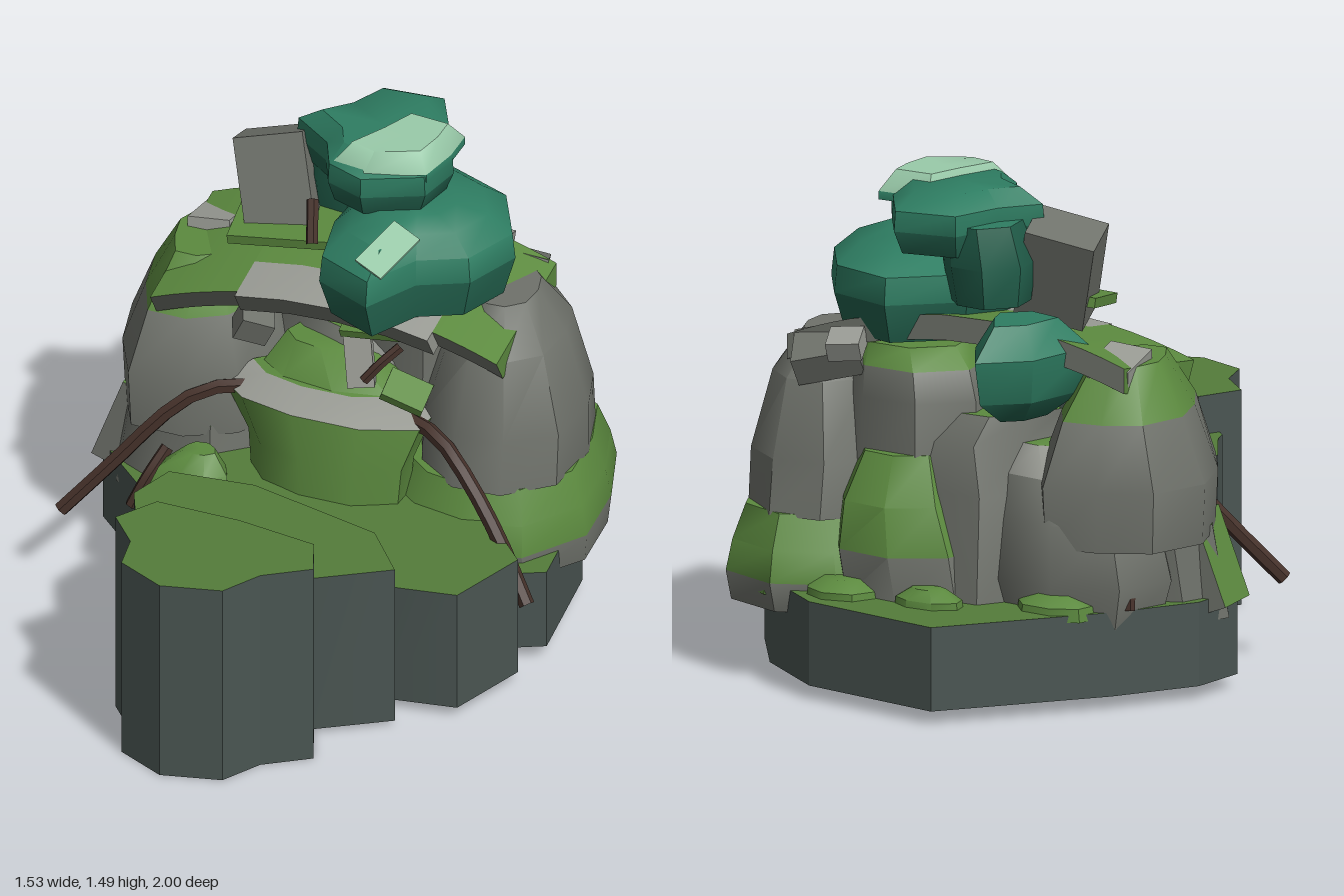
import * as THREE from 'three';
import { toCreasedNormals } from 'three/addons/utils/BufferGeometryUtils.js';

const material = (name, color) => {
  const m = new THREE.MeshStandardMaterial({ color });
  m.name = name;
  return m;
};

export function createModel() {
  const group = new THREE.Group();
  const slate = material('slate', 0x4a5552);
  const turf = material('turf', 0x547c3a);
  const moss = material('moss', 0x5c8a3f);
  const stone = material('stone', 0x6f726b);
  const paleStone = material('pale stone', 0x999b94);
  const leaf = material('leaf', 0x2e7d62);
  const darkLeaf = material('dark leaf', 0x22604c);
  const paleLeaf = material('pale leaf', 0x9acbaa);
  const bark = material('bark', 0x443029);

  const add = (name, geometry, mat) => {
    const mesh = new THREE.Mesh(geometry, mat);
    mesh.name = name;
    group.add(mesh);
    return mesh;
  };

  // Skin stacked rings of points; mats = bottom cap, each band, top cap
  const loft = (name, rings, mats, crease) => {
    const pos = [], geo = new THREE.BufferGeometry(), used = [...new Set(mats)];
    const mid = (r) => [0, 1, 2].map((k) => r.reduce((s, p) => s + p[k], 0) / r.length);
    const n = rings[0].length;
    const band = (index, build) => {
      const start = pos.length / 3;
      for (let i = 0; i < n; i++) build(i, (i + 1) % n);
      geo.addGroup(start, pos.length / 3 - start, used.indexOf(mats[index]));
    };
    const low = rings[0], high = rings[rings.length - 1], cl = mid(low), ch = mid(high);
    band(0, (i, j) => pos.push(...cl, ...low[i], ...low[j]));
    for (let k = 0; k + 1 < rings.length; k++) {
      const a = rings[k], b = rings[k + 1];
      band(k + 1, (i, j) => pos.push(...a[i], ...b[i], ...a[j], ...a[j], ...b[i], ...b[j]));
    }
    band(rings.length, (i, j) => pos.push(...ch, ...high[j], ...high[i]));
    geo.setAttribute('position', new THREE.Float32BufferAttribute(pos, 3));
    return add(name, toCreasedNormals(geo, crease), used);
  };

  // Irregular boulder from levels [y, cx, cz, rx, rz]
  const boulder = (name, levels, mats, n = 9, seed = 1) => {
    const wobble = (i) => 0.95 + 0.07 * Math.sin(i * 2.4 * seed + seed);
    loft(name, levels.map(([y, cx, cz, rx, rz]) => Array.from({ length: n }, (_, i) => {
      const a = (i + 0.3 * seed) / n * Math.PI * 2, w = wobble(i);
      return [cx + Math.cos(a) * rx * w, y, cz + Math.sin(a) * rz * w];
    })), mats, 0.72);
  };

  // Outline [x, z] repeated at levels [y, scale]
  const layered = (name, outline, levels, mats, crease) => {
    const cx = outline.reduce((s, p) => s + p[0], 0) / outline.length;
    const cz = outline.reduce((s, p) => s + p[1], 0) / outline.length;
    loft(name, levels.map(([y, s]) => outline.map(([x, z]) => [cx + (x - cx) * s, y, cz + (z - cz) * s])), mats, crease);
  };

  // Terraced ground, tallest step at the front
  [
    [0, 0.64, [[.3, .75], [.17, .84], [.1, .96], [-.08, 1], [-.23, .92], [-.25, .8], [-.34, .69], [-.26, .565], [0, .575], [.25, .62]]],
    [.015, .525, [[.45, .49], [.25, .62], [0, .7], [-.24, .7], [-.32, .6], [-.33, .55], [-.41, .37], [-.36, .22], [-.1, .2], [.32, .32]]],
    [.03, .41, [[.53, -.05], [.69, .13], [.6, .38], [.38, .41], [-.3, .36], [-.43, .24], [-.4, .1], [-.35, -.2], [0, -.28], [.4, -.2]]],
    [.04, .29, [[.72, -.02], [.6, .04], [-.4, .04], [-.52, 0], [-.74, -.22], [-.7, -.4], [-.52, -.62], [-.12, -1], [.33, -.86], [.55, -.65], [.68, -.4]]],
  ].forEach(([y0, y1, outline], i) =>
    layered('terrace' + (i + 1), outline, [[y0, 1], [y1, 1]], [slate, slate, turf], 0.3));

  // Main boulders and the mossy skirt
  boulder('leftSkirt', [[.22, .42, -.37, .35, .4], [.31, .42, -.37, .36, .43], [.4, .43, -.37, .33, .4], [.5, .44, -.37, .28, .35]],
    [stone, stone, moss, moss, moss], 11, 2);
  boulder('leftBoulder', [[.49, .47, -.36, .27, .36], [.65, .47, -.36, .27, .33], [.88, .47, -.37, .19, .26], [1, .46, -.38, .1, .14]],
    [stone, stone, stone, stone, stone], 10, 3);
  boulder('rightFoot', [[.22, -.47, -.26, .27, .22], [.5, -.46, -.29, .24, .22]], [stone, stone, moss], 9, 2);
  boulder('rightBoulder', [[.47, -.46, -.36, .27, .33], [.65, -.46, -.36, .28, .34], [.84, -.46, -.36, .2, .28], [.99, -.46, -.36, .11, .16]],
    [stone, stone, stone, moss, moss], 10, 1);
  boulder('coreRock', [[.25, 0, -.42, .34, .3], [.6, 0, -.41, .32, .27], [.74, .02, -.42, .28, .22], [.82, -.02, -.42, .24, .16]],
    [stone, stone, stone, stone, moss], 9, 4);
  boulder('corePillar', [[.6, .17, -.44, .26, .22], [.85, .17, -.44, .25, .21], [.94, .18, -.43, .23, .2], [1, .2, -.42, .19, .16]],
    [stone, stone, stone, moss, moss], 8, 2);
  boulder('backBoulder', [[.22, -.33, -.44, .27, .24], [.36, -.33, -.44, .31, .28], [.54, -.32, -.43, .27, .26], [.66, -.28, -.43, .21, .2], [.74, -.24, -.44, .1, .1]],
    [stone, stone, stone, stone, paleStone, moss], 9, 2);
  boulder('backLeftBoulder', [[.28, .12, -.57, .24, .19], [.42, .14, -.57, .24, .2], [.56, .16, -.57, .2, .17], [.7, .16, -.55, .14, .12]],
    [stone, stone, moss, moss, moss], 8, 3);
  boulder('frontRightBoulder', [[.18, -.38, .03, .13, .09], [.3, -.38, .03, .15, .11], [.43, -.36, .02, .11, .08], [.48, -.35, 0, .05, .04]],
    [stone, stone, moss, moss, moss], 8, 1);

  // Low moss pads around the back
  [[.28, -.73, .13, .1], [0, -.75, .12, .07], [-.36, -.65, .13, .08], [.5, -.66, .12, .1]].forEach(([x, z, rx, rz], i) =>
    boulder('mossPad' + (i + 1), [[.27, x, z, rx, rz], [.31, x, z, rx * .95, rz * .95], [.34, x, z, rx * .5, rz * .5]],
      [moss, moss, moss, moss], 8, i + 1));

  // Ledges in the hollow between the boulders
  boulder('lowerLedge', [[.28, .02, -.08, .24, .13], [.52, .02, -.09, .26, .13], [.65, 0, -.12, .33, .13], [.7, -.02, -.18, .24, .1]],
    [stone, moss, moss, paleStone, moss], 9, 2);
  boulder('upperLedge', [[.64, .02, -.2, .26, .12], [.7, 0, -.2, .25, .11], [.78, -.06, -.26, .13, .08]],
    [moss, moss, moss, moss], 8, 3);

  // Loose tilted blocks; mats may list one per box face
  const block = (name, size, at, turn, mat) => {
    const m = add(name, new THREE.BoxGeometry(...size), mat);
    m.position.set(...at);
    m.rotation.set(...turn);
  };
  block('hollowSlab', [.08, .17, .06], [.09, .81, -.14], [-.2, .3, .15], paleStone);
  block('hollowChip', [.1, .08, .08], [-.24, .85, -.14], [.3, .4, -.5], stone);
  block('hollowMoss', [.22, .025, .12], [.15, .93, -.16], [.3, 0, .15], moss);
  block('hollowMossLow', [.13, .03, .1], [.24, .73, -.13], [.4, 0, -.4], moss);
  block('rightTopBlock', [.13, .1, .17], [-.465, .96, -.44], [-.2, 0, .1], paleStone);
  block('leftTopBlock', [.2, .09, .15], [.4, .96, -.56], [-.45, .3, -.1], stone);
  block('leftTopChip', [.1, .06, .09], [.33, 1.0, -.6], [-.4, .2, 0], paleStone);
  block('summitBlock', [.21, .29, .15], [-.235, 1.225, -.34], [-.35, .1, .27], stone);
  block('summitMoss', [.34, .03, .2], [-.17, 1.135, -.27], [.15, .1, .08], moss);
  block('rightSlab', [.2, .28, .17], [-.62, .365, -.27], [0, 0, -.36], [stone, moss, moss, stone, stone, stone]);

  // Curved bridge slab over the hollow, undercut in front, moss on top
  [[-.53, -.26, -.55, -.06, moss], [-.26, .34, -.2, -.04, paleStone], [-.26, .34, -.55, -.2, moss],
    [.34, .54, -.55, -.08, moss]].forEach(([x0, x1, z0, z1, top], i) => {
    const g = new THREE.BoxGeometry(x1 - x0, .075, z1 - z0, 4, 1, 1);
    g.translate((x0 + x1) / 2, 0, (z0 + z1) / 2);
    const p = g.attributes.position;
    for (let k = 0; k < p.count; k++) {
      const x = p.getX(k), y = p.getY(k), z = p.getZ(k);
      p.setY(k, y + 1.025 - .37 * x * x - .17 * (z + .3));
      if (y < 0 && z > -.1) p.setZ(k, z - .05);
    }
    g.computeVertexNormals();
    add('bridgeSlab' + (i + 1), g, [top, top, top, stone, stone, stone]);
  });

  // Tree foliage in three clumps, darker underneath
  const shaded = [darkLeaf, darkLeaf, leaf, leaf, leaf];
  layered('middleFoliage', [[.5, -.33], [.43, -.15], [.29, -.08], [.2, .09], [.02, 0], [-.02, -.2], [0, -.48], [.2, -.62], [.4, -.53]],
    [[1.01, .88], [1.13, 1], [1.21, .97], [1.27, .72], [1.3, .4]], [...shaded, leaf], 0.7);
  layered('crownFoliage', [[.3, -.35], [.27, -.2], [.1, -.12], [-.02, -.17], [-.07, -.28], [-.2, -.38], [-.1, -.48], [-.03, -.63], [.16, -.64], [.23, -.5]],
    [[1.29, .88], [1.36, 1], [1.42, .98], [1.465, .7]], shaded, 0.7);
  layered('crownHighlight', [[.295, -.34], [.27, -.21], [.1, -.14], [-.01, -.18], [.07, -.33], [.13, -.47], [.295, -.45]],
    [[1.4, 1], [1.425, 1], [1.485, .72]], [leaf, leaf, paleLeaf, paleLeaf], 0.9);
  boulder('crownTail', [[1.14, -.06, -.45, .13, .14], [1.26, -.06, -.46, .15, .16], [1.38, -.04, -.46, .13, .14]],
    [darkLeaf, darkLeaf, darkLeaf, leaf], 8, 2);
  layered('backFoliage', [[-.08, -.6], [-.06, -.48], [-.2, -.38], [-.38, -.45], [-.3, -.68], [-.16, -.78]],
    [[.83, .4], [.9, .88], [1.03, 1], [1.12, .55]], shaded, 0.7);
  block('leafGlint', [.1, .009, .17], [.225, 1.268, -.02], [.45, -.4, -.1], paleLeaf);

  // Roots, twigs and the hidden trunk
  const limb = (name, points, r) => add(name, toCreasedNormals(new THREE.TubeGeometry(
    new THREE.CatmullRomCurve3(points.map((p) => new THREE.Vector3(...p))), 8, r, 6), 0.5), bark);
  for (const s of [1, -1]) {
    limb(s > 0 ? 'leftRoot' : 'rightRoot',
      [[s * .25, .65, -.12], [s * .36, .64, -.07], [s * .46, .57, -.02], [s * .59, .42, .04], [s * (s > 0 ? .71 : .74), .25, .11]], .023);
  }
  limb('sideTwig', [[-.46, .45, -.02], [-.5, .37, .04], [-.54, .28, .06]], .02);
  limb('backTwig', [[-.5, .5, -.5], [-.55, .38, -.56], [-.56, .29, -.58]], .018);
  limb('hollowTwig', [[.12, .76, -.1], [.16, .81, -.12], [.21, .86, -.16]], .016);
  limb('upperTwig', [[-.08, 1.27, -.2], [-.065, 1.22, -.16], [-.05, 1.17, -.12]], .018);
  limb('trunk', [[.08, .95, -.36], [.07, 1.15, -.37], [.06, 1.36, -.38]], .05);

  return group;
}
